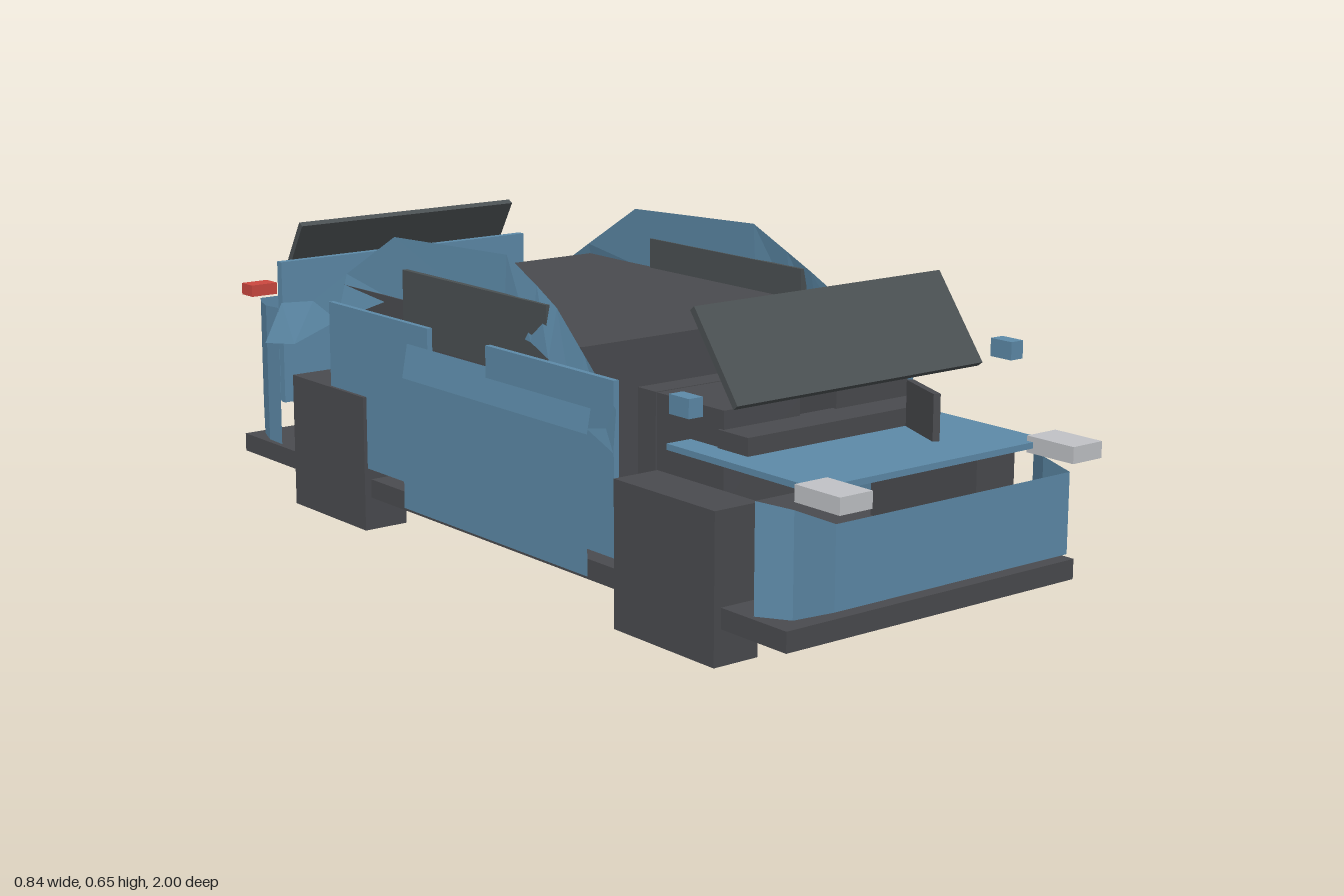
import * as THREE from 'three';

export function createModel() {
  const car = new THREE.Group();
  car.name = 'car';

  const mat = (name, color) => {
    const m = new THREE.MeshStandardMaterial({ color, flatShading: true });
    m.name = name;
    return m;
  };
  const paint = mat('bluePaint', 0x5d8aa8);
  paint.side = THREE.DoubleSide;
  const dark = mat('darkGrey', 0x4a4b4f);
  const glass = mat('tintedGlass', 0x4a5052);
  const silver = mat('headlightSilver', 0xc0c2c6);
  const red = mat('tailLightRed', 0xcb483f);

  const add = (name, geometry, material) => {
    const mesh = new THREE.Mesh(geometry, material);
    mesh.name = name;
    car.add(mesh);
    return mesh;
  };

  // Box given by its limits on each axis
  const box = (name, material, [x0, x1], [y0, y1], [z0, z1]) => {
    const mesh = add(name, new THREE.BoxGeometry(x1 - x0, y1 - y0, z1 - z0), material);
    mesh.position.set((x0 + x1) / 2, (y0 + y1) / 2, (z0 + z1) / 2);
    return mesh;
  };
  const pair = (name, material, [x0, x1], y, z) => {
    box(name + 'Left', material, [x0, x1], y, z);
    box(name + 'Right', material, [-x1, -x0], y, z);
  };

  // Sheet joining a row of [bottom point, top point] pairs
  const sheet = (name, sections) => {
    const pts = [];
    for (let i = 0; i < sections.length - 1; i++) {
      const [a, b] = sections[i];
      const [c, d] = sections[i + 1];
      pts.push(...a, ...c, ...d, ...a, ...d, ...b);
    }
    const g = new THREE.BufferGeometry();
    g.setAttribute('position', new THREE.Float32BufferAttribute(pts, 3));
    g.computeVertexNormals();
    return add(name, g, paint);
  };

  // Chassis and underbody
  box('floorPan', dark, [-0.362, 0.362], [0.07, 0.11], [-0.945, 0.91]);
  box('underbody', dark, [-0.23, 0.23], [0.033, 0.07], [-0.385, 0.415]);

  // Square wheels
  pair('frontWheel', dark, [0.275, 0.378], [0, 0.29], [0.445, 0.735]);
  pair('rearWheel', dark, [0.275, 0.378], [0, 0.29], [-0.7, -0.415]);

  // Cabin and interior
  box('cabin', dark, [-0.33, 0.33], [0.2, 0.505], [-0.557, 0.285]);
  box('rearBench', dark, [-0.195, 0.195], [0.2, 0.41], [0.285, 0.34]);
  pair('seat', dark, [0.046, 0.232], [0.24, 0.423], [0.39, 0.585]);
  box('dashboard', dark, [-0.238, 0.238], [0.32, 0.387], [0.575, 0.66]);
  const wheel = box('steeringWheel', dark, [0.13, 0.144], [0.303, 0.442], [0.66, 0.79]);
  wheel.rotation.y = -0.38;

  // Glass: slanted screens and side windows
  const screen = (name, width, y0, z0, y1, z1) => {
    const mesh = add(name, new THREE.BoxGeometry(width, Math.hypot(y1 - y0, z1 - z0), 0.014), glass);
    mesh.position.set(0, (y0 + y1) / 2, (z0 + z1) / 2);
    mesh.rotation.x = Math.atan2(z1 - z0, y1 - y0);
  };
  screen('windshield', 0.614, 0.46, 0.705, 0.622, 0.583);
  screen('rearWindow', 0.57, 0.46, -0.888, 0.6, -0.806);
  pair('sideWindow', glass, [0.318, 0.334], [0.42, 0.57], [-0.322, 0.178]);

  // Hood, trunk panel and mirrors
  box('hood', paint, [-0.29, 0.29], [0.34, 0.352], [0.49, 0.9]);
  box('trunkPanel', paint, [-0.33, 0.33], [0.2, 0.518], [-0.836, -0.818]);
  pair('mirror', paint, [0.386, 0.418], [0.457, 0.493], [0.655, 0.71]);

  // Lamps
  pair('headlight', silver, [0.25, 0.326], [0.33, 0.362], [0.885, 1]);
  pair('tailLight', red, [0.263, 0.328], [0.42, 0.446], [-1, -0.955]);

  // Wraparound bumpers: [x, z, bottom, top] for the left half, mirrored to the right
  const bumper = (name, half) => {
    const right = half.map(([x, ...rest]) => [-x, ...rest]).reverse();
    sheet(name, [...half, ...right].map(([x, z, y0, y1]) => [[x, y0, z], [x, y1, z]]));
  };
  bumper('frontBumper', [
    [0.35, 0.81, 0.11, 0.32], [0.312, 0.87, 0.11, 0.31], [0.292, 0.955, 0.142, 0.3],
  ]);
  bumper('rearBumper', [
    [0.35, -0.803, 0.085, 0.42], [0.348, -0.86, 0.09, 0.417],
    [0.325, -0.92, 0.11, 0.414], [0.292, -0.98, 0.165, 0.41],
  ]);

  // Doors
  pair('frontDoor', paint, [0.362, 0.374], [0.135, 0.473], [0.03, 0.44]);
  pair('rearDoor', paint, [0.358, 0.37], [0.135, 0.473], [-0.555, -0.18]);

  // Bulging sill panels and leaning side shells, one per side
  const sill = [[0.383, 0.085], [0.383, 0.36], [0.37, 0.43]];
  // [z, bottom x, bottom y, top x, top y]
  const shell = [
    [0.45, 0.383, 0.34, 0.376, 0.42], [0.315, 0.37, 0.38, 0.347, 0.497],
    [0.2, 0.346, 0.47, 0.325, 0.567], [0.13, 0.336, 0.49, 0.321, 0.6],
    [0.027, 0.327, 0.5, 0.318, 0.646], [-0.375, 0.327, 0.5, 0.318, 0.63],
    [-0.555, 0.35, 0.43, 0.324, 0.528], [-0.69, 0.378, 0.36, 0.328, 0.45],
    [-0.805, 0.384, 0.345, 0.34, 0.43],
  ];
  for (const [side, s] of [['Left', 1], ['Right', -1]]) {
    sheet('sillPanel' + side, sill.map(([x, y]) => [[s * x, y, 0.37], [s * x, y, -0.255]]));
    sheet('sideShell' + side, shell.map(([z, x0, y0, x1, y1]) => [[s * x0, y0, z], [s * x1, y1, z]]));
  }

  return car;
}
